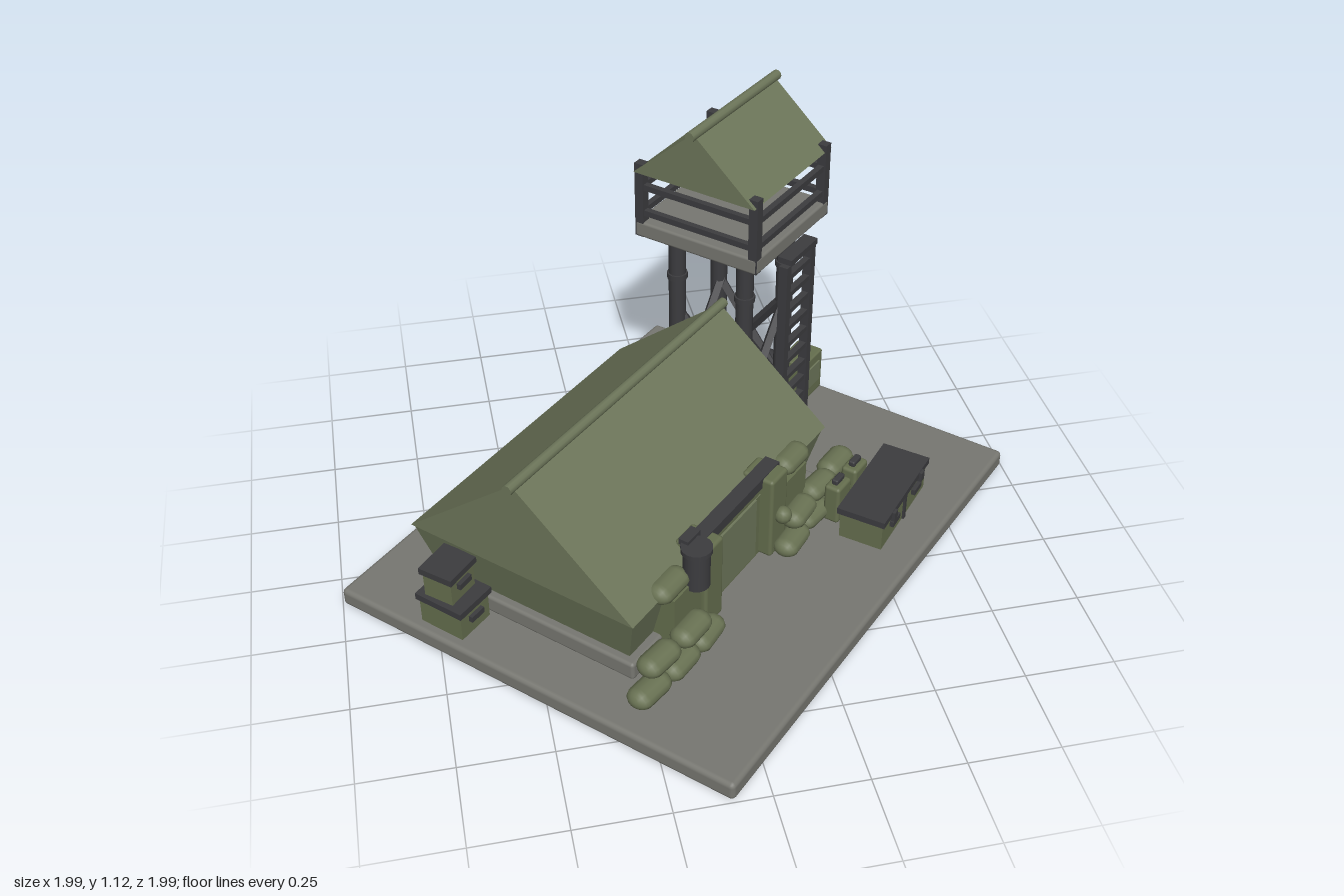
import * as THREE from 'three';
import { RoundedBoxGeometry } from 'three/addons/geometries/RoundedBoxGeometry.js';

const material = (name, color) => {
  const m = new THREE.MeshStandardMaterial({ color });
  m.name = name;
  return m;
};

export function createModel() {
  const canvas = material('canvas green', 0x6d765a);
  const bagCloth = material('sandbag green', 0x697253);
  const paint = material('equipment green', 0x656e4e);
  const concrete = material('concrete grey', 0x777771);
  const metal = material('dark metal', 0x3c3c3f);

  const root = new THREE.Group();
  root.name = 'outpost';
  // Everything is laid out square to the slab, then turned by 45 degrees.
  const site = new THREE.Group();
  site.name = 'site';
  site.rotation.y = Math.PI / 4;
  root.add(site);

  const add = (name, geometry, mat, x, y, z, parent = site) => {
    const mesh = new THREE.Mesh(geometry, mat);
    mesh.name = name;
    mesh.position.set(x, y, z);
    parent.add(mesh);
    return mesh;
  };
  const box = (name, w, h, d, mat, x, y, z, parent, r = 0) => add(name,
    r ? new RoundedBoxGeometry(w, h, d, 2, r) : new THREE.BoxGeometry(w, h, d), mat, x, y, z, parent);
  const group = (name, x, y, z, parent = site) => {
    const g = new THREE.Group();
    g.name = name;
    g.position.set(x, y, z);
    parent.add(g);
    return g;
  };
  // Straight bar of square section between two points
  const bar = (name, a, b, t, mat, parent) => {
    const p = new THREE.Vector3(...a), q = new THREE.Vector3(...b);
    const mesh = add(name, new THREE.BoxGeometry(t, t, p.distanceTo(q)), mat, 0, 0, 0, parent);
    mesh.position.copy(p).add(q).multiplyScalar(0.5);
    mesh.quaternion.setFromUnitVectors(new THREE.Vector3(0, 0, 1), q.sub(p).normalize());
    return mesh;
  };
  // Gable roof with its ridge along x
  const gable = (name, length, half, rise, x, y, z, parent) => {
    const s = new THREE.Shape();
    s.moveTo(-half, 0);
    s.lineTo(half, 0);
    s.lineTo(0, rise);
    s.closePath();
    const g = new THREE.ExtrudeGeometry(s, { depth: length, bevelEnabled: false });
    g.translate(0, 0, -length / 2);
    g.rotateY(Math.PI / 2);
    add(name, g, canvas, x, y, z, parent);
    const roll = new THREE.CylinderGeometry(0.015, 0.015, length + 0.035, 10);
    roll.rotateZ(Math.PI / 2);
    add(name + 'Ridge', roll, canvas, x, y + rise - 0.003, z, parent);
  };

  const floor = 0.055;
  box('baseSlab', 1.556, floor, 1.272, concrete, 0, floor / 2, 0, site, 0.014);

  // Tent: footing, tapering walls and roof
  const tentX = -0.153, tentZ = -0.11;
  const tent = group('tent', tentX, 0, tentZ);
  box('tentFooting', 0.94, 0.055, 0.69, concrete, 0, 0.0825, 0, tent, 0.01);
  const walls = new THREE.BoxGeometry(0.97, 0.2, 0.715);
  const wp = walls.attributes.position;
  for (let i = 0; i < wp.count; i++) {
    if (wp.getY(i) < 0) {
      wp.setX(i, wp.getX(i) - Math.sign(wp.getX(i)) * 0.05);
      wp.setZ(i, wp.getZ(i) - Math.sign(wp.getZ(i)) * 0.05);
    }
  }
  walls.computeVertexNormals();
  add('tentWalls', walls, canvas, 0, 0.17, 0, tent);
  gable('tentRoof', 0.98, 0.362, 0.297, 0, 0.27, 0, tent);

  // Entrance with side posts, door, lintel and low wing walls
  const gate = group('entrance', -0.15, 0, 0);
  for (const s of [-1, 1]) {
    box('entrancePost', 0.085, 0.27, 0.1, paint, s * 0.168, floor + 0.135, 0.24, gate, 0.01);
    box('wingWall', 0.15, 0.195, 0.08, paint, s * 0.265, floor + 0.0975, 0.235, gate);
  }
  box('door', 0.27, 0.25, 0.04, paint, 0, floor + 0.125, 0.23, gate);
  box('doorPanel', 0.2, 0.2, 0.008, canvas, 0, floor + 0.115, 0.252, gate);
  box('lintel', 0.43, 0.032, 0.045, metal, 0, 0.312, 0.235, gate);

  // Lantern beside the entrance
  const lantern = group('lantern', -0.385, 0, 0.275);
  add('lanternBody', new THREE.CylinderGeometry(0.037, 0.037, 0.12, 16), metal, 0, 0.295, 0, lantern);
  add('lanternCap', new THREE.CylinderGeometry(0.043, 0.043, 0.014, 16), metal, 0, 0.355, 0, lantern);
  box('lanternBracket', 0.06, 0.018, 0.03, metal, 0.02, 0.363, -0.035, lantern);

  // Sandbags
  const bagGeometry = new THREE.CapsuleGeometry(0.032, 0.07, 6, 12);
  bagGeometry.rotateZ(Math.PI / 2);
  bagGeometry.scale(1, 0.9, 1.2);
  const bags = [
    [-0.645, 0, 0.3], [-0.52, 0, 0.31], [-0.395, 0, 0.31], [-0.585, 1, 0.29], [-0.45, 1, 0.3],
    [0.05, 0, 0.315], [0.18, 0, 0.305], [0.31, 0, 0.29], [0.11, 1, 0.3], [0.24, 1, 0.29], [0.36, 1, 0.28],
  ];
  bags.forEach(([x, row, z], i) => {
    const bag = add('sandbag', bagGeometry, bagCloth, x, 0.083 + row * 0.055, z);
    bag.rotation.y = ((i % 3) - 1) * 0.08;
  });
  for (const x of [-0.465, 0.155]) add('topSandbag', bagGeometry, bagCloth, x, 0.273, 0.24);
  add('smallSandbag', new THREE.SphereGeometry(0.026, 12, 8), bagCloth, 0.02, 0.188, 0.3);

  // Fuel cans
  for (const x of [0.24, 0.34]) {
    const can = group('fuelCan', x, floor, 0.354);
    box('canBody', 0.075, 0.125, 0.05, paint, 0, 0.0625, 0, can, 0.01);
    box('canHandle', 0.045, 0.018, 0.02, metal, 0, 0.134, 0, can, 0.005);
  }

  // Crates with dark lids, clasps and handles on the front
  const crate = (name, w, h, d, x, y, z, fittings, turn = 0) => {
    const g = group(name, x, y, z);
    g.rotation.y = turn;
    box('crateBody', w, h - 0.018, d, paint, 0, (h - 0.018) / 2, 0, g);
    box('crateLid', w + 0.015, 0.02, d + 0.015, metal, 0, h - 0.01, 0, g);
    for (const fx of fittings) {
      box('crateHandle', 0.05, 0.018, 0.014, metal, fx, h * 0.52, d / 2 + 0.005, g);
    }
    return g;
  };
  const chest = crate('longChest', 0.32, 0.105, 0.13, 0.33, floor, 0.457, [-0.08, 0.08], 0.08);
  for (const x of [-0.1, 0.1]) box('chestClasp', 0.022, 0.03, 0.016, metal, x, 0.088, 0.073, chest);
  box('chestDivider', 0.014, 0.086, 0.01, metal, 0, 0.043, 0.066, chest);
  crate('lowerCrate', 0.115, 0.1, 0.14, -0.69, floor, -0.3, [0]);
  crate('upperCrate', 0.1, 0.095, 0.09, -0.69, floor + 0.1, -0.31, [0], 0.06);

  // Watchtower
  const tower = group('watchtower', 0.523, 0, -0.187);
  const leg = 0.117, corner = 0.19;
  box('platform', 0.41, 0.05, 0.41, concrete, 0, 0.74, 0, tower, 0.008);
  for (const sx of [-1, 1]) {
    for (const sz of [-1, 1]) {
      add('towerLeg', new THREE.CylinderGeometry(0.026, 0.026, 0.67, 12), metal,
        sx * leg, 0.385, sz * leg, tower);
      for (const y of [0.1, 0.565]) {
        add('legCollar', new THREE.CylinderGeometry(0.031, 0.031, 0.018, 12), metal,
          sx * leg, y, sz * leg, tower);
      }
      box('railPost', 0.028, 0.235, 0.028, metal, sx * corner, 0.835, sz * corner, tower);
    }
  }
  for (let i = 0; i < 4; i++) {
    const side = group('towerSide', 0, 0, 0, tower);
    side.rotation.y = i * Math.PI / 2;
    bar('crossBrace', [-leg, 0.13, leg], [leg, 0.44, leg], 0.022, metal, side);
    bar('crossBrace', [-leg, 0.44, leg - 0.01], [leg, 0.13, leg - 0.01], 0.022, metal, side);
    for (const y of [0.795, 0.878]) box('railing', corner * 2, 0.018, 0.018, metal, 0, y, corner, side);
  }
  gable('towerRoof', 0.43, 0.2, 0.175, 0, 0.93, 0, tower);

  // Ladder
  const ladder = group('ladder', 0.523, 0, 0.035);
  for (const s of [-1, 1]) box('ladderRail', 0.024, 0.63, 0.028, metal, s * 0.07, floor + 0.315, 0, ladder);
  for (let i = 0; i < 10; i++) {
    box('ladderRung', 0.14, 0.016, 0.02, metal, 0, 0.1 + i * 0.06, 0, ladder);
  }
  box('ladderTop', 0.15, 0.018, 0.045, metal, 0, 0.702, 0, ladder);

  // Generator box and drum beside the tower
  const generator = group('generator', 0.71, floor, -0.04);
  box('generatorBody', 0.12, 0.145, 0.09, paint, 0, 0.0725, 0, generator, 0.006);
  box('generatorPanel', 0.07, 0.07, 0.008, canvas, 0, 0.08, 0.047, generator);
  const drum = new THREE.CylinderGeometry(0.053, 0.053, 0.13, 18);
  drum.rotateX(Math.PI / 2);
  add('drum', drum, metal, 0.71, floor + 0.053, -0.16);
  for (const z of [-0.125, -0.195]) {
    add('drumBand', new THREE.TorusGeometry(0.053, 0.005, 6, 18), metal, 0.71, floor + 0.053, z);
  }

  return root;
}
